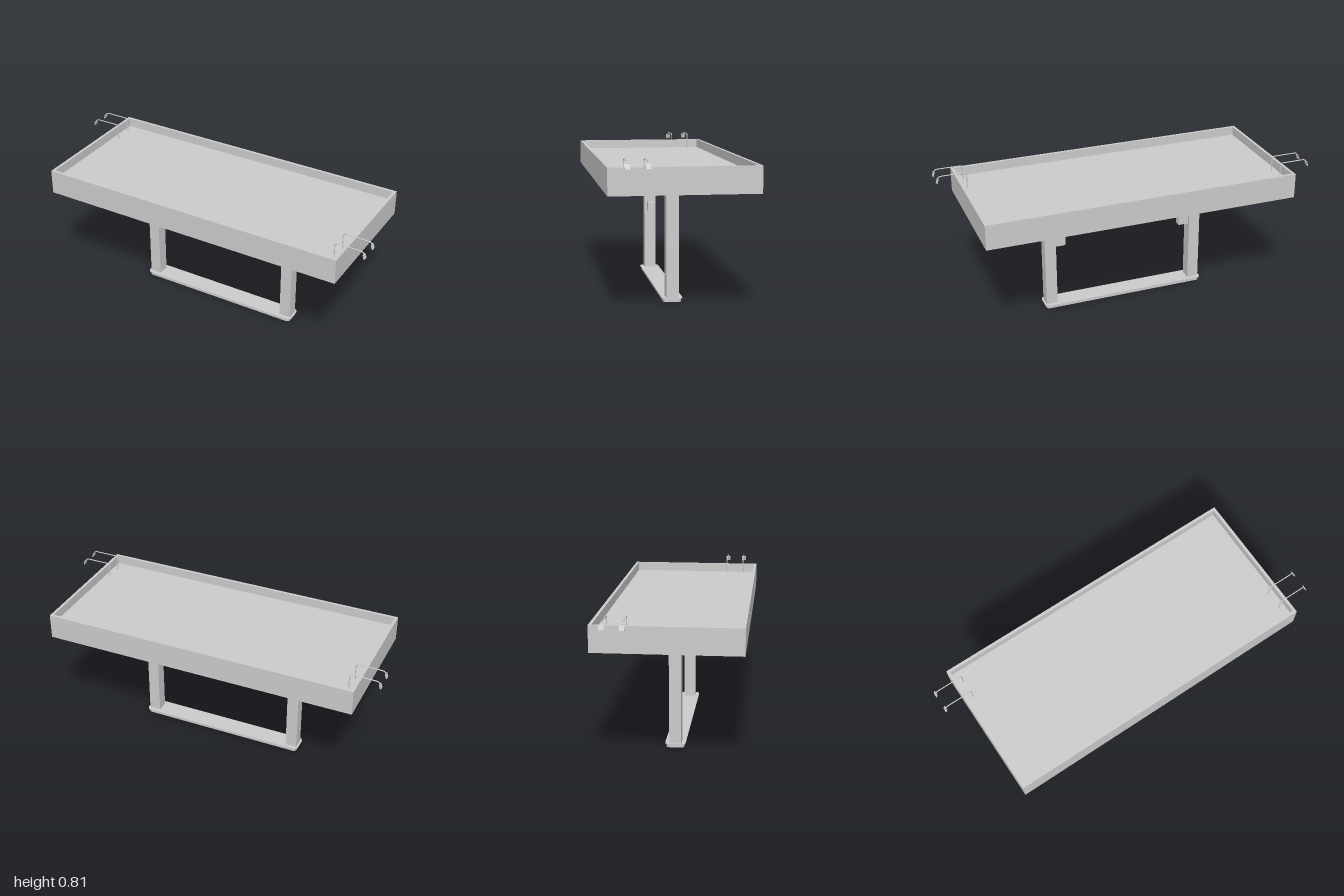
import * as THREE from 'three';

const grey = new THREE.MeshStandardMaterial({ color: 0xcccccc, side: THREE.DoubleSide });

function add(parent, name, geometry, x = 0, y = 0, z = 0) {
  const mesh = new THREE.Mesh(geometry, grey);
  mesh.name = name;
  mesh.position.set(x, y, z);
  parent.add(mesh);
  return mesh;
}

// Rectangle outline with rounded corners; r = 0 gives square corners
function outline(path, w, d, r) {
  const x = w / 2, y = d / 2;
  path.moveTo(-x + r, -y);
  path.lineTo(x - r, -y);
  if (r) path.absarc(x - r, -y + r, r, -Math.PI / 2, 0, false);
  path.lineTo(x, y - r);
  if (r) path.absarc(x - r, y - r, r, 0, Math.PI / 2, false);
  path.lineTo(-x + r, y);
  if (r) path.absarc(-x + r, y - r, r, Math.PI / 2, Math.PI, false);
  path.lineTo(-x, -y + r);
  if (r) path.absarc(-x + r, -y + r, r, Math.PI, Math.PI * 1.5, false);
  return path;
}

// Upright slab, or a frame when a wall thickness is given
function slab(w, d, height, r = 0, wall = 0) {
  const shape = outline(new THREE.Shape(), w, d, r);
  if (wall) {
    shape.holes.push(outline(new THREE.Path(), w - 2 * wall, d - 2 * wall, Math.max(0, r - wall)));
  }
  const geo = new THREE.ExtrudeGeometry(shape, { depth: height, bevelEnabled: false, curveSegments: 5 });
  return geo.rotateX(-Math.PI / 2);
}

// Bent wire hook reaching out over the tray wall in +x
function makeHook() {
  const hook = new THREE.Group();
  hook.name = 'hook';
  const v = (x, y) => new THREE.Vector3(x, y, 0);
  const path = new THREE.CurvePath();
  path.add(new THREE.LineCurve3(v(0.83, 0.715), v(0.83, 0.79)));
  path.add(new THREE.QuadraticBezierCurve3(v(0.83, 0.79), v(0.83, 0.804), v(0.845, 0.804)));
  path.add(new THREE.LineCurve3(v(0.845, 0.804), v(0.965, 0.804)));
  path.add(new THREE.QuadraticBezierCurve3(v(0.965, 0.804), v(0.983, 0.804), v(0.987, 0.793)));
  path.add(new THREE.LineCurve3(v(0.987, 0.793), v(0.996, 0.766)));
  add(hook, 'hookWire', new THREE.TubeGeometry(path, 60, 0.003, 8));
  const tab = add(hook, 'hookTab', new THREE.BoxGeometry(0.005, 0.026, 0.026), 0.992, 0.78);
  tab.rotation.z = 0.3;
  return hook;
}

export function createModel() {
  const model = new THREE.Group();
  model.name = 'trayTable';

  // Tray: four walls around a recessed floor
  add(model, 'trayWalls', slab(1.76, 0.77, 0.14, 0, 0.016), 0, 0.625);
  add(model, 'trayFloor', new THREE.BoxGeometry(1.73, 0.083, 0.74), 0, 0.6735);

  // Round screw heads under the floor
  for (const x of [-0.79, -0.3, 0.3, 0.79]) {
    for (const z of [-0.3, 0, 0.3]) {
      add(model, 'screwHead', new THREE.CylinderGeometry(0.016, 0.016, 0.012, 16), x, 0.6285, z);
    }
  }

  // Legs, each with a block on its inner face
  for (const s of [-1, 1]) {
    add(model, 'leg', new THREE.BoxGeometry(0.065, 0.615, 0.066), s * 0.4375, 0.3275);
    add(model, 'legBlock', new THREE.BoxGeometry(0.06, 0.052, 0.04), s * 0.375, 0.4);
  }

  // Foot rail: thin top plate over a hollow skirt
  add(model, 'footPlate', slab(0.96, 0.11, 0.005, 0.025), 0, 0.017);
  add(model, 'footSkirt', slab(0.945, 0.097, 0.017, 0.02, 0.01));

  // Hooks: one pair at each end, on opposite corners
  for (const z of [0.2, 0.3]) {
    const left = makeHook();
    left.position.z = z;
    const right = makeHook();
    right.rotation.y = Math.PI;
    right.position.z = -z;
    model.add(left, right);
  }
  return model;
}
